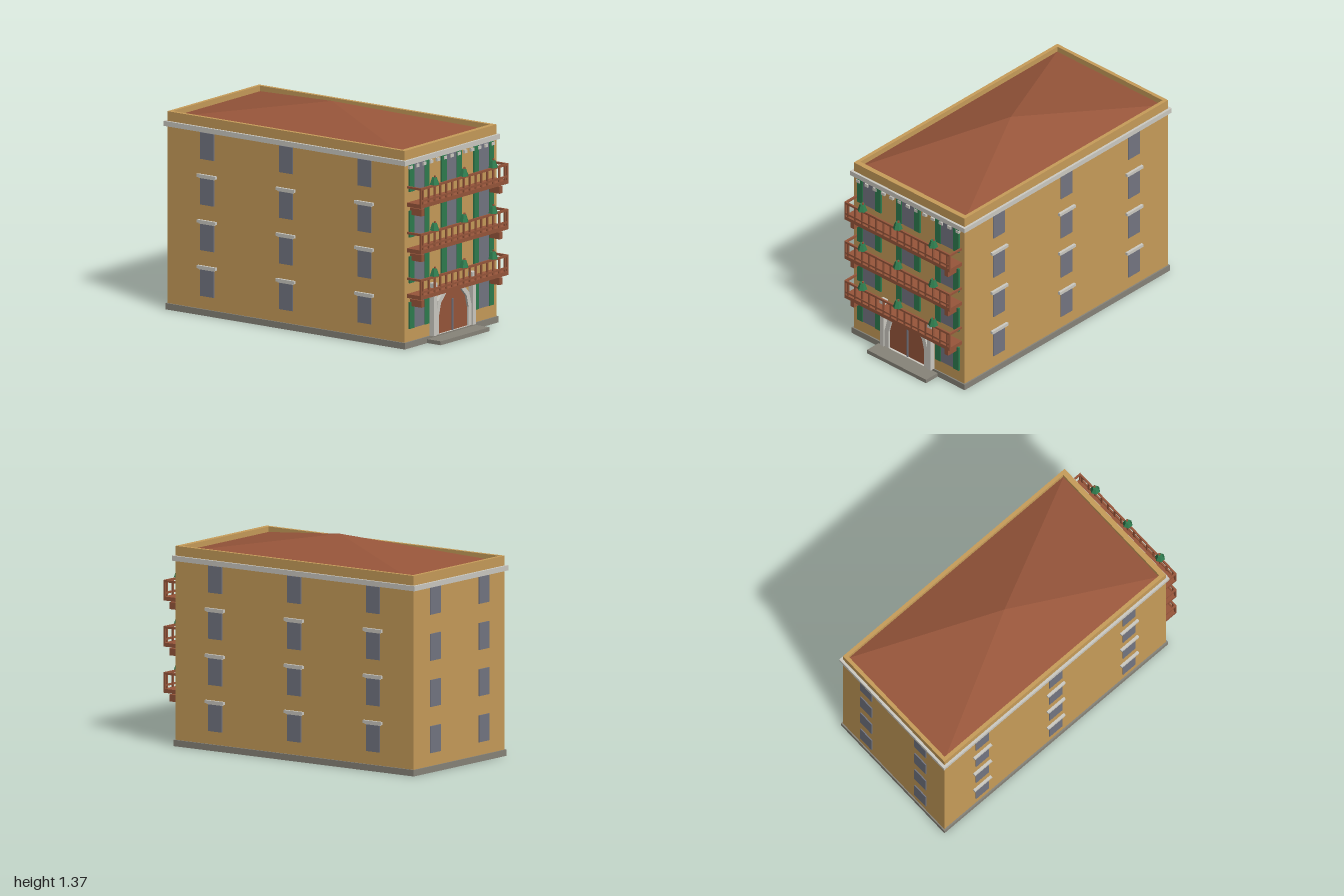
import * as THREE from 'three';

const mat = (name, color) => {
  const m = new THREE.MeshStandardMaterial({ color });
  m.name = name;
  return m;
};

export function createModel() {
  const ochre = mat('ochre plaster', 0xc89d5a);
  const terracotta = mat('terracotta', 0x98563b);
  const green = mat('shutter green', 0x2f7d4f);
  const glass = mat('grey glass', 0x747682);
  const trim = mat('pale trim', 0xcdcbc3);
  const stone = mat('base stone', 0x88847a);

  const house = new THREE.Group();
  house.name = 'house';
  const add = (parent, name, geometry, material, x = 0, y = 0, z = 0) => {
    const mesh = new THREE.Mesh(geometry, material);
    mesh.name = name;
    mesh.position.set(x, y, z);
    parent.add(mesh);
    return mesh;
  };
  // Box given by its ranges along each axis
  const box = (parent, name, material, x0, x1, y0, y1, z0, z1) =>
    add(parent, name, new THREE.BoxGeometry(x1 - x0, y1 - y0, z1 - z0), material,
      (x0 + x1) / 2, (y0 + y1) / 2, (z0 + z1) / 2);
  const flat = (geometry) => {
    const g = geometry.toNonIndexed();
    g.computeVertexNormals();
    return g;
  };

  const W = 0.469, FRONT = 0.866, BACK = -0.98, MID = -0.057;
  const FLOORS = [0, 1, 2, 3].map((i) => 0.122 + i * 0.29); // window sill heights
  const WIN_H = 0.169, WIN_W = 0.0525;

  // Main block
  box(house, 'base', stone, -0.479, 0.479, 0, 0.04, -0.988, 0.875);
  box(house, 'doorStep', stone, -0.25, 0.25, 0, 0.025, 0.875, 0.98);
  box(house, 'walls', ochre, -W, W, 0.04, 1.21, BACK, FRONT);
  box(house, 'cornice', trim, -0.485, 0.485, 1.165, 1.197, -0.997, 0.882);
  for (let i = -6; i <= 6; i++)
    box(house, 'dentil', trim, i * 0.07 - 0.014, i * 0.07 + 0.014, 1.137, 1.157, FRONT, 0.882);

  // Parapet around a shallow hipped roof
  const T = 0.024;
  for (const s of [-1, 1])
    box(house, 'parapetSide', ochre, s * (W - T / 2) - T / 2, s * (W - T / 2) + T / 2, 1.21, 1.258, BACK, FRONT);
  box(house, 'parapetFront', ochre, -W + T, W - T, 1.21, 1.258, FRONT - T - 0.01, FRONT);
  box(house, 'parapetBack', ochre, -W + T, W - T, 1.21, 1.258, BACK, BACK + T);
  const roof = new THREE.ConeGeometry(Math.SQRT2, 0.142, 4, 1).rotateY(Math.PI / 4);
  roof.scale(0.446, 1, 0.897);
  add(house, 'roof', flat(roof), terracotta, 0, 1.294, MID);

  // Window facing +z with its sill centre at the origin
  const makeWindow = (shutters, lintel) => {
    const g = new THREE.Group();
    g.name = 'window';
    box(g, 'pane', glass, -WIN_W, WIN_W, 0, WIN_H, 0, 0.007);
    if (shutters)
      for (const s of [-1, 1])
        box(g, 'shutter', green, s * 0.0765 - 0.024, s * 0.0765 + 0.024, 0, WIN_H, 0, 0.012);
    if (lintel) {
      box(g, 'lintelFillet', trim, -0.06, 0.06, WIN_H, WIN_H + 0.008, 0, 0.012);
      box(g, 'lintel', trim, -0.072, 0.072, WIN_H + 0.006, WIN_H + 0.025, 0, 0.017);
    }
    return g;
  };
  const place = (win, x, y, z, turn) => {
    win.position.set(x, y, z);
    win.rotation.y = turn;
    house.add(win);
  };
  FLOORS.forEach((y, floor) => {
    const lintel = floor < 3;
    for (const x of [-0.33, 0, 0.33])
      if (x !== 0 || floor > 0) place(makeWindow(true, lintel && x !== 0), x, y, FRONT, 0);
    for (const s of [-1, 1]) {
      for (const z of [0.556, -0.056, -0.668])
        place(makeWindow(false, lintel), s * W, y, z, s * Math.PI / 2);
      place(makeWindow(false, false), s * 0.25, y, BACK, Math.PI);
    }
  });

  // Arched doorway
  const arch = (r, Shape) => {
    const s = new Shape();
    s.moveTo(-r, 0.04);
    s.lineTo(r, 0.04);
    for (let i = 0; i <= 6; i++) {
      const a = (i * Math.PI) / 6;
      s.lineTo(r * Math.cos(a), 0.16 + r * Math.sin(a));
    }
    s.closePath();
    return s;
  };
  const extrude = (shape, depth) => new THREE.ExtrudeGeometry(shape, { depth, bevelEnabled: false });
  const surround = arch(0.183, THREE.Shape);
  surround.holes.push(arch(0.151, THREE.Path));
  add(house, 'doorSurround', extrude(surround, 0.026), trim, 0, 0, FRONT);
  add(house, 'door', extrude(arch(0.151, THREE.Shape), 0.012), terracotta, 0, 0, FRONT);
  box(house, 'doorBar', glass, -0.006, 0.006, 0.04, 0.24, 0.878, 0.885);
  for (const s of [-1, 1]) {
    box(house, 'pilaster', trim, s * 0.2 - 0.015, s * 0.2 + 0.015, 0.04, 0.347, FRONT, 0.9);
    box(house, 'pilasterCap', trim, s * 0.2 - 0.021, s * 0.2 + 0.021, 0.347, 0.375, FRONT, 0.9);
  }

  // Balconies, each with railing, brackets and three potted shrubs
  const makeBalcony = () => {
    const g = new THREE.Group();
    g.name = 'balcony';
    const B = 0.447, Z = 0.976;
    box(g, 'slab', terracotta, -B, B, 0.321, 0.346, FRONT, Z);
    box(g, 'lowerRail', terracotta, -B, B, 0.361, 0.373, Z - 0.01, Z);
    box(g, 'handrail', terracotta, -B, B, 0.436, 0.45, Z - 0.012, Z);
    for (let i = -7; i <= 7; i++)
      box(g, 'baluster', terracotta, i * 0.06 - 0.006, i * 0.06 + 0.006, 0.346, 0.436, Z - 0.011, Z - 0.001);
    for (const s of [-1, 1]) {
      box(g, 'endPost', terracotta, s * 0.441 - 0.006, s * 0.441 + 0.006, 0.346, 0.436, Z - 0.012, Z);
      box(g, 'sideRail', terracotta, s * 0.441 - 0.006, s * 0.441 + 0.006, 0.436, 0.45, FRONT, Z - 0.012);
      box(g, 'bracket', terracotta, s * 0.399 - 0.015, s * 0.399 + 0.015, 0.264, 0.308, FRONT, 0.955);
    }
    for (const x of [-0.3, 0, 0.3]) {
      add(g, 'shrub', flat(new THREE.CylinderGeometry(0.016, 0.032, 0.045, 6)), green, x, 0.472, 0.969);
      add(g, 'shrubStem', flat(new THREE.CylinderGeometry(0.007, 0.007, 0.012, 6)), terracotta, x + 0.006, 0.499, 0.969);
    }
    return g;
  };
  for (let i = 0; i < 3; i++) {
    const balcony = makeBalcony();
    balcony.position.y = i * 0.29;
    house.add(balcony);
  }
  return house;
}
